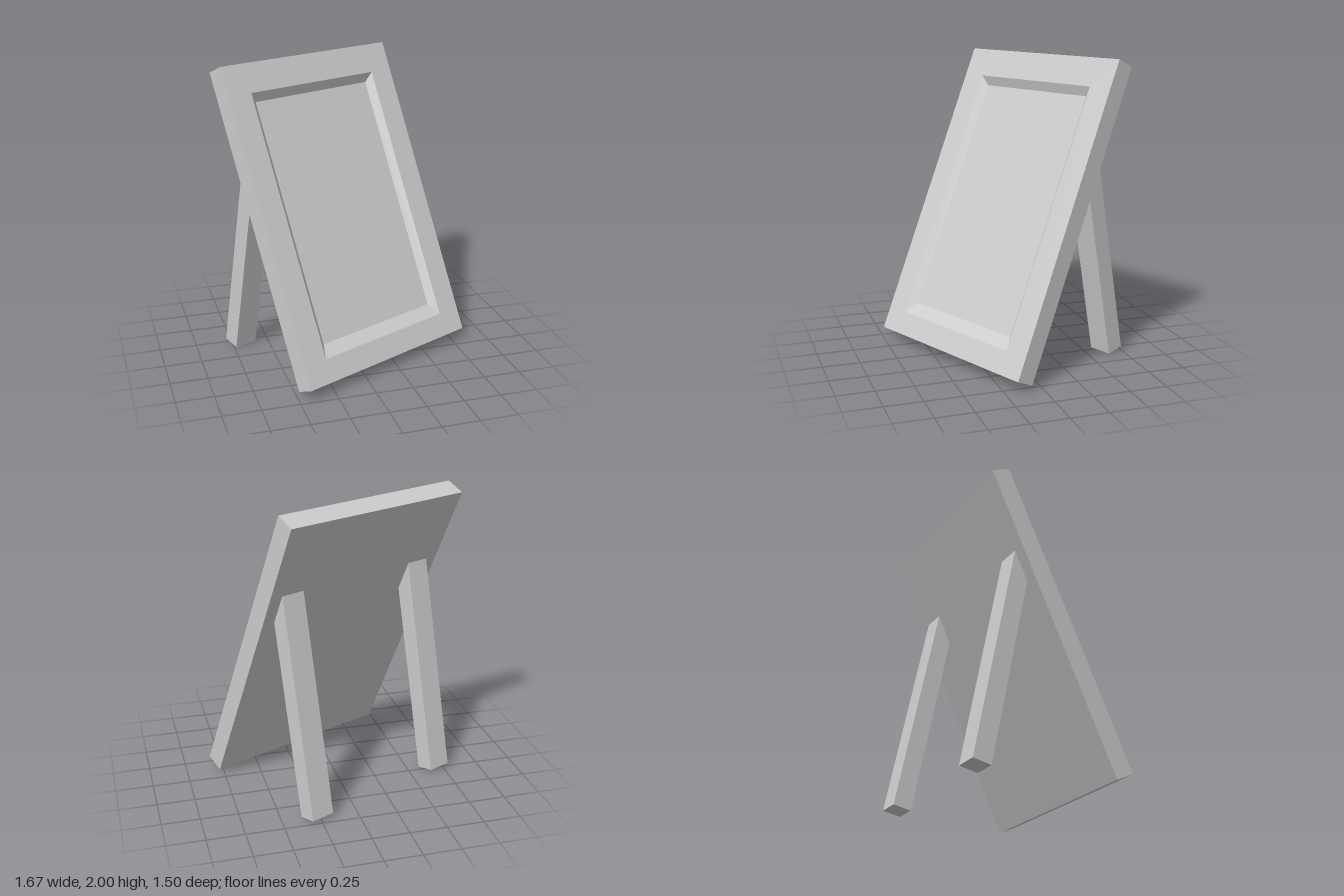
import * as THREE from 'three';

// Corners of a rectangle at depth z, counter-clockwise from lower left
const rect = (halfW, bottom, top, z) => [
  [-halfW, bottom, z], [halfW, bottom, z], [halfW, top, z], [-halfW, top, z],
];

// Panel with a bevelled recess: rectangular rings joined in order, then capped
function panelGeometry() {
  const rings = [
    rect(0.693, -1.054, 1.054, -0.134), // back
    rect(0.693, -1.054, 1.054, 0),      // front outline
    rect(0.519, -0.9, 0.858, 0),        // recess opening
    rect(0.474, -0.813, 0.803, -0.0435), // recess floor
  ];
  const positions = [];
  const quad = (a, b, c, d) => positions.push(...a, ...b, ...c, ...a, ...c, ...d);
  for (let r = 0; r < rings.length - 1; r++) {
    const [p, q] = [rings[r], rings[r + 1]];
    for (let i = 0; i < 4; i++) {
      const j = (i + 1) % 4;
      quad(p[i], p[j], q[j], q[i]);
    }
  }
  quad(...rings[3]);
  quad(...[...rings[0]].reverse());
  const geometry = new THREE.BufferGeometry();
  geometry.setAttribute('position', new THREE.Float32BufferAttribute(positions, 3));
  geometry.computeVertexNormals();
  return geometry;
}

// Leg from its side profile (forward, up); the slanted top sits inside the panel back
function legGeometry(width) {
  const profile = new THREE.Shape([
    new THREE.Vector2(-0.433, 0),
    new THREE.Vector2(-0.176, 1.286),
    new THREE.Vector2(-0.265, 1.481),
    new THREE.Vector2(-0.556, 0.024),
  ]);
  return new THREE.ExtrudeGeometry(profile, { depth: width, bevelEnabled: false })
    .translate(0, 0, -width / 2)
    .rotateY(-Math.PI / 2);
}

export function createModel() {
  const model = new THREE.Group();
  model.name = 'standingFrame';
  const material = new THREE.MeshStandardMaterial({ color: 0xcccccc, flatShading: true });

  // The whole stand is turned about the vertical
  const stand = new THREE.Group();
  stand.name = 'stand';
  stand.rotation.y = 0.425;
  model.add(stand);

  // Panel leaning back
  const panel = new THREE.Mesh(panelGeometry(), material);
  panel.name = 'panel';
  panel.position.set(-0.008, 1.04, 0.0695);
  panel.rotation.x = -0.425;
  stand.add(panel);

  // Pair of rear legs
  const legShape = legGeometry(0.164);
  for (const side of [-1, 1]) {
    const leg = new THREE.Mesh(legShape, material);
    leg.name = side < 0 ? 'rightLeg' : 'leftLeg';
    leg.position.x = -0.008 + side * 0.5225;
    stand.add(leg);
  }
  return model;
}
